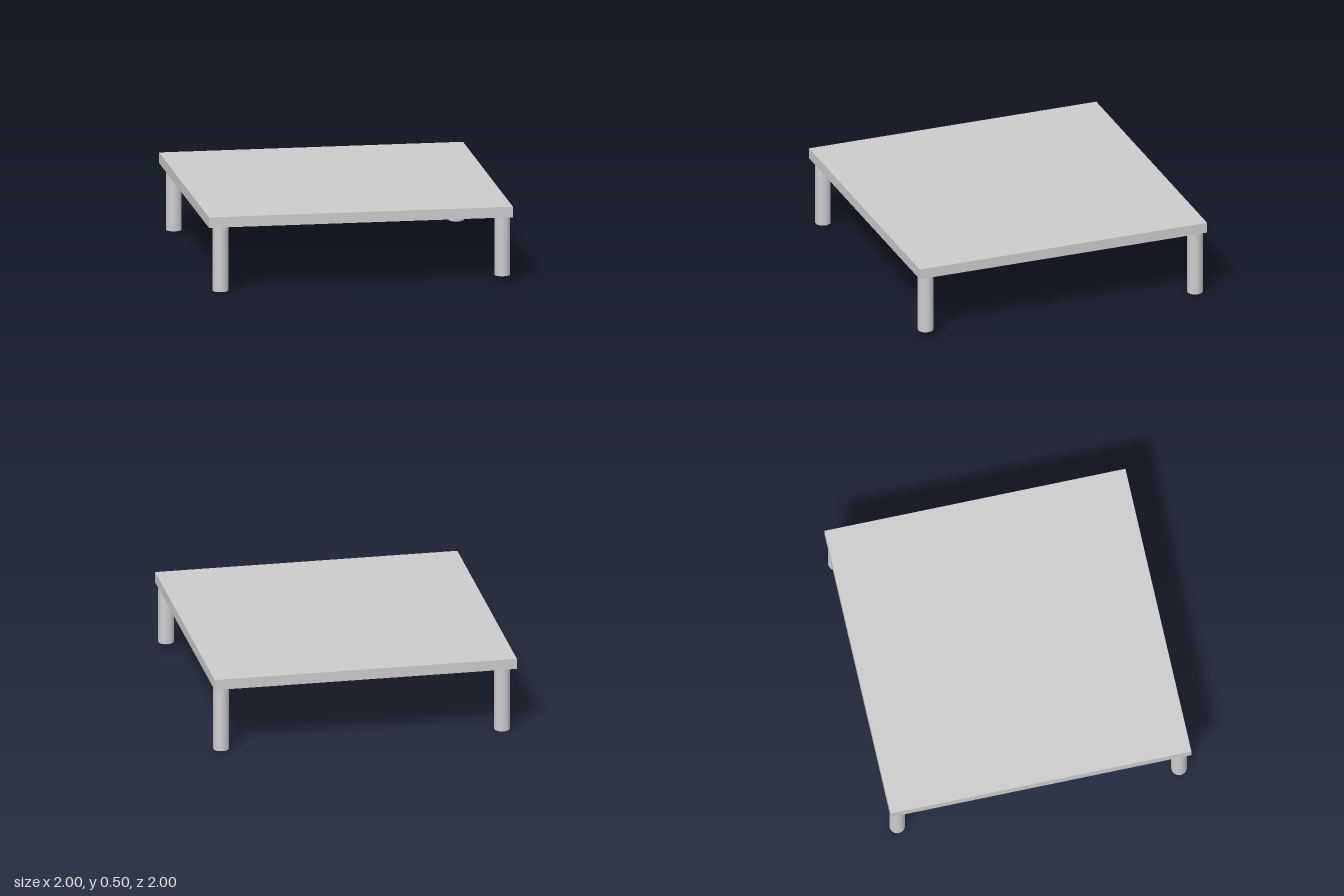
import * as THREE from 'three';

const TOP = 0.503, UNDERSIDE = 0.433, LEG_RADIUS = 0.051;

export function createModel() {
  const table = new THREE.Group();
  table.name = 'table';
  const material = new THREE.MeshStandardMaterial({ color: 0xcccccc });

  // Square slab
  const tabletop = new THREE.Mesh(new THREE.BoxGeometry(2, TOP - UNDERSIDE, 2), material);
  tabletop.name = 'tabletop';
  tabletop.position.y = (TOP + UNDERSIDE) / 2;
  table.add(tabletop);

  // Round legs; the front left one stops short of the ground
  const legs = [
    ['frontLeftLeg', 0.94, 0.936, 0.04],
    ['frontRightLeg', -0.914, 0.936, 0],
    ['backLeftLeg', 0.945, -0.937, 0],
    ['backRightLeg', -0.914, -0.937, 0],
  ];
  for (const [name, x, z, foot] of legs) {
    const height = UNDERSIDE - foot;
    const leg = new THREE.Mesh(new THREE.CylinderGeometry(LEG_RADIUS, LEG_RADIUS, height, 32), material);
    leg.name = name;
    leg.position.set(x, foot + height / 2, z);
    table.add(leg);
  }
  return table;
}
